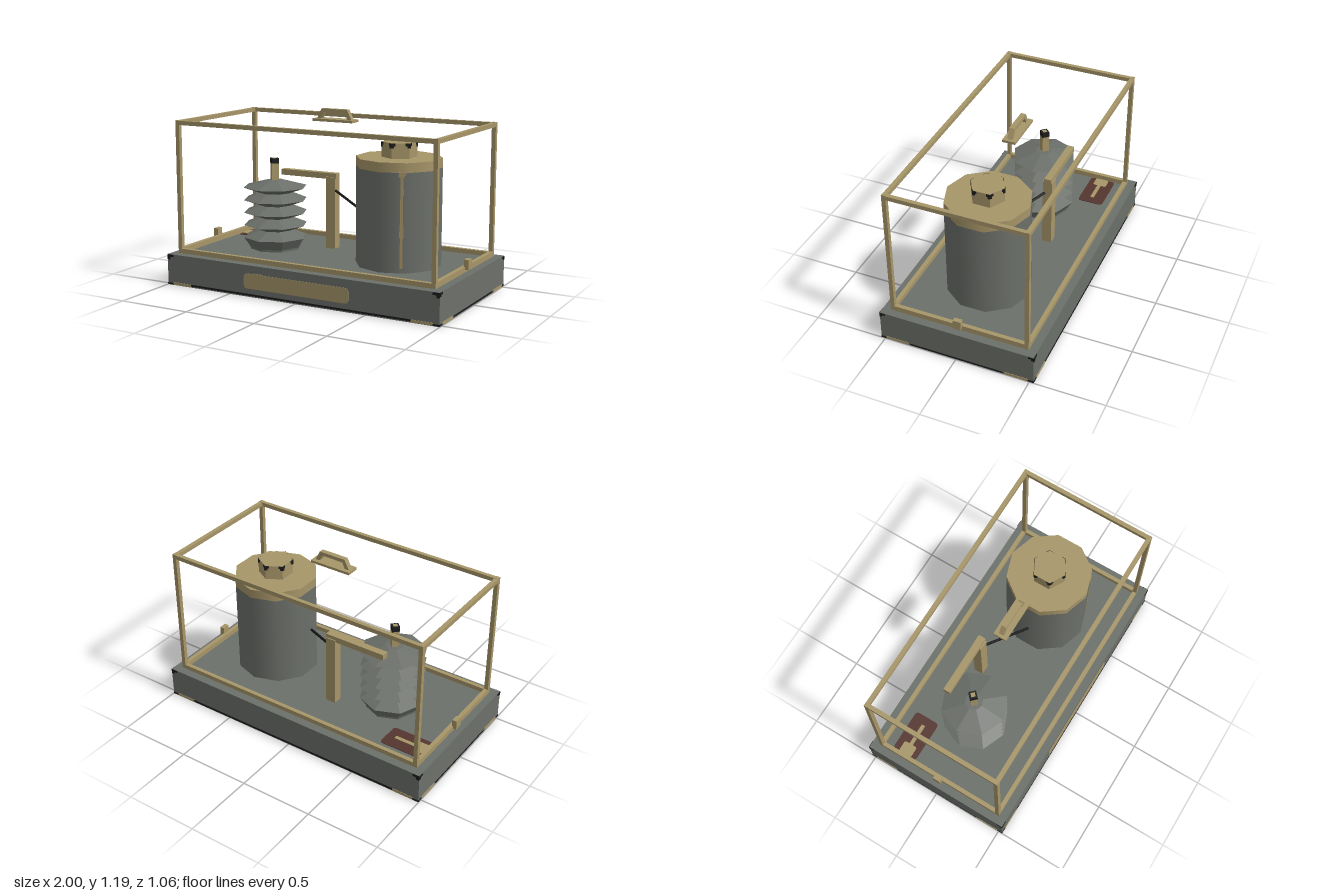
import * as THREE from 'three';

const mat = (name, color) => {
  const m = new THREE.MeshStandardMaterial({ color, side: THREE.DoubleSide });
  m.name = name;
  return m;
};

export function createModel() {
  const root = new THREE.Group();
  root.name = 'barograph';
  const grey = mat('grey', 0x6c706a), gold = mat('brass', 0xa79669);
  const black = mat('black', 0x1b1b1d), red = mat('dark red', 0x55352f);

  const add = (name, geo, material, x = 0, y = 0, z = 0, parent = root) => {
    const mesh = new THREE.Mesh(geo, material);
    mesh.name = name;
    mesh.position.set(x, y, z);
    parent.add(mesh);
    return mesh;
  };
  // Box given by its minimum and maximum corners
  const box = (name, m, x0, x1, y0, y1, z0, z1, parent) =>
    add(name, new THREE.BoxGeometry(x1 - x0, y1 - y0, z1 - z0), m,
      (x0 + x1) / 2, (y0 + y1) / 2, (z0 + z1) / 2, parent);
  const flat = (geo) => {
    const g = geo.toNonIndexed();
    g.computeVertexNormals();
    return g;
  };
  // Thin plate with rounded corners, centred, facing +z
  const roundPlate = (w, h, r, t) => {
    const s = new THREE.Shape(), a = w / 2, b = h / 2;
    s.moveTo(-a + r, -b).lineTo(a - r, -b).quadraticCurveTo(a, -b, a, -b + r);
    s.lineTo(a, b - r).quadraticCurveTo(a, b, a - r, b);
    s.lineTo(-a + r, b).quadraticCurveTo(-a, b, -a, b - r);
    s.lineTo(-a, -b + r).quadraticCurveTo(-a, -b, -a + r, -b);
    return new THREE.ExtrudeGeometry(s, { depth: t, bevelEnabled: false, curveSegments: 4 }).translate(0, 0, -t / 2);
  };

  // Base: hollow tray, open underneath
  const X = 0.997, Z = 0.527, H = 0.21, t = 0.003;
  const tray = new THREE.BoxGeometry(2 * X, H, 2 * Z);
  const faces = Array.from(tray.index.array);
  faces.splice(18, 6);
  tray.setIndex(faces);
  tray.clearGroups();
  add('base', tray, grey, 0, H / 2, 0);
  add('frontPanel', roundPlate(0.77, 0.1, 0.025, 0.006), gold, 0, 0.105, Z);
  box('frontPanelTab', gold, -0.31, -0.25, 0.15, 0.16, Z - t, Z + t);

  // Worn corners and lower trim on all four walls
  for (const s of [-1, 1]) {
    box('lowerTrim', black, -0.81, 0.81, 0.008, 0.02, s * Z - t, s * Z + t);
    box('lowerTrim', black, s * X - t, s * X + t, 0.006, 0.016, -0.32, 0.32);
    for (const q of [-1, 1]) {
      const alongX = (name, m, a, b, y0, y1) =>
        box(name, m, Math.min(q * a, q * b), Math.max(q * a, q * b), y0, y1, s * Z - t, s * Z + t);
      const alongZ = (name, m, a, b, y0, y1) =>
        box(name, m, s * X - t, s * X + t, y0, y1, Math.min(q * a, q * b), Math.max(q * a, q * b));
      alongX('wornCorner', black, 0.95, X, 0.192, 0.208);
      alongX('wornCorner', black, 0.975, X, 0.175, 0.192);
      alongX('footTrim', gold, 0.81, 0.955, 0.002, 0.02);
      alongX('cornerTrim', black, 0.955, X, 0.002, 0.014);
      alongZ('wornCorner', black, 0.49, Z, 0.195, 0.208);
      alongZ('wornCorner', black, 0.51, Z, 0.183, 0.195);
      alongZ('footTrim', gold, 0.335, 0.49, 0.002, 0.02);
      alongZ('cornerTrim', black, 0.49, Z, 0.002, 0.014);
    }
  }

  // Case frame
  const fx = 0.945, fz = 0.473, b = 0.028;
  for (const s of [-1, 1]) {
    const z0 = s > 0 ? fz - b : -fz, x0 = s > 0 ? fx - b : -fx;
    box('frameLongBottom', gold, -fx, fx, 0.212, 0.243, z0, z0 + b);
    box('frameLongTop', gold, -fx, fx, 1.08, 1.108, z0, z0 + b);
    box('frameSideBottom', gold, x0, x0 + b, 0.212, 0.248, -fz, fz);
    box('frameSideTop', gold, x0, x0 + b, 1.08, 1.108, -fz, fz);
    for (const q of [-1, 1]) {
      const pz = q > 0 ? fz - b : -fz;
      box('framePost', gold, x0, x0 + b, 0.212, 1.11, pz, pz + b);
    }
    box('frameCatch', gold, s * 0.953 - 0.016, s * 0.953 + 0.016, 0.23, 0.295, -0.027, 0.027);
  }

  // Carrying handle
  box('handlePlate', gold, -0.147, 0.147, 1.108, 1.125, -0.045, 0.045);
  const arch = new THREE.Shape([[-0.13, 1.12], [-0.095, 1.19], [0.095, 1.19], [0.13, 1.12],
    [0.1, 1.12], [0.078, 1.166], [-0.078, 1.166], [-0.1, 1.12]].map((p) => new THREE.Vector2(...p)));
  add('handle', new THREE.ExtrudeGeometry(arch, { depth: 0.034, bevelEnabled: false }), gold, 0, 0, -0.017);

  // Recording drum: ten sides with smooth shading
  const dx = 0.467, R = 0.28;
  add('drum', new THREE.CylinderGeometry(R, R, 0.64, 10, 1, true), grey, dx, 0.528, 0);
  add('drumBand', new THREE.CylinderGeometry(R, R, 0.062, 10, 1, true), gold, dx, 0.879, 0);
  add('drumTop', new THREE.CircleGeometry(R, 10, Math.PI / 2).rotateX(-Math.PI / 2), gold, dx, 0.91, 0);
  const clip = new THREE.Group();
  clip.name = 'drumClip';
  clip.position.x = dx;
  clip.rotation.y = Math.PI / 10;
  root.add(clip);
  const face = R * Math.cos(Math.PI / 10);
  box('clipStrip', gold, 0.046, 0.064, 0.24, 0.85, face - t, face + t, clip);
  box('clipShoulder', gold, 0.035, 0.075, 0.82, 0.85, face - t, face + t, clip);
  box('clipSwell', gold, 0.042, 0.068, 0.44, 0.52, face - t, face + t, clip);

  // Hexagonal winding cap with worn upper corners
  const cr = 0.115, ca = cr * Math.cos(Math.PI / 6);
  add('drumCap', flat(new THREE.CylinderGeometry(cr, cr, 0.1, 6)), gold, dx, 0.958, 0);
  for (let i = 0; i < 6; i++) {
    const side = new THREE.Group();
    side.name = 'capWear';
    side.position.x = dx;
    side.rotation.y = (i + 0.5) * Math.PI / 3;
    root.add(side);
    for (const s of [-1, 1]) {
      box('capCorner', black, s * 0.05 - 0.0075, s * 0.05 + 0.0075, 0.975, 1.007, ca - t, ca + t, side);
      box('capCornerEdge', black, s * 0.045 - 0.0125, s * 0.045 + 0.0125, 0.99, 1.007, ca - t, ca + t, side);
    }
  }

  // Pressure bellows: stacked octagonal folds
  const bx = -0.47, profile = [[0.175, 0.207], [0.178, 0.225], [0.22, 0.29]];
  for (let i = 0; i < 4; i++) profile.push([0.11, 0.336 + i * 0.0865], [0.22, 0.3765 + i * 0.0865]);
  profile.push([0.06, 0.68], [0, 0.682]);
  add('bellows', flat(new THREE.LatheGeometry(profile.map((p) => new THREE.Vector2(...p)), 8)), grey, bx, 0, 0);
  add('bellowsStem', flat(new THREE.CylinderGeometry(0.034, 0.034, 0.12, 4)), gold, bx - 0.004, 0.735, 0);
  add('bellowsKnob', flat(new THREE.CylinderGeometry(0.035, 0.035, 0.035, 4)), black, bx - 0.004, 0.8125, 0);
  add('stemTip', flat(new THREE.CylinderGeometry(0.02, 0.02, 0.004, 4)), gold, bx - 0.004, 0.83, 0);

  // Lever post, arm and recording pen
  box('leverPost', gold, -0.155, -0.085, 0.207, 0.705, -0.21, -0.145);
  box('leverArm', gold, -0.515, -0.08, 0.69, 0.73, -0.203, -0.155);
  const from = new THREE.Vector3(-0.09, 0.615, -0.16), to = new THREE.Vector3(0.19, 0.543, 0.012);
  add('penArm', new THREE.TubeGeometry(new THREE.LineCurve3(from, to), 1, 0.009, 6), black);

  // Red tray with brass key on the deck
  add('redTray', roundPlate(0.295, 0.178, 0.025, 0.008).rotateX(-Math.PI / 2), red, -0.768, 0.21, -0.297);
  add('keyHead', roundPlate(0.08, 0.095, 0.015, 0.008).rotateX(-Math.PI / 2), gold, -0.875, 0.213, -0.293);
  box('keyShaft', gold, -0.84, -0.68, 0.21, 0.217, -0.306, -0.28);

  // Undersides of the fittings, seen inside the tray
  const disc = (name, r, n, x, m, y) =>
    add(name, new THREE.CircleGeometry(r, n, Math.PI / 2).rotateX(Math.PI / 2), m, x, y, 0);
  disc('drumSocket', R * 0.99, 10, dx, black, 0.204);
  disc('bellowsSocket', 0.175, 8, bx, black, 0.204);
  box('bellowsBrace', gold, bx - 0.155, bx + 0.155, 0.2, 0.203, -0.02, 0.02);
  box('postSocket', black, -0.155, -0.085, 0.203, 0.206, -0.21, -0.145);
  return root;
}
